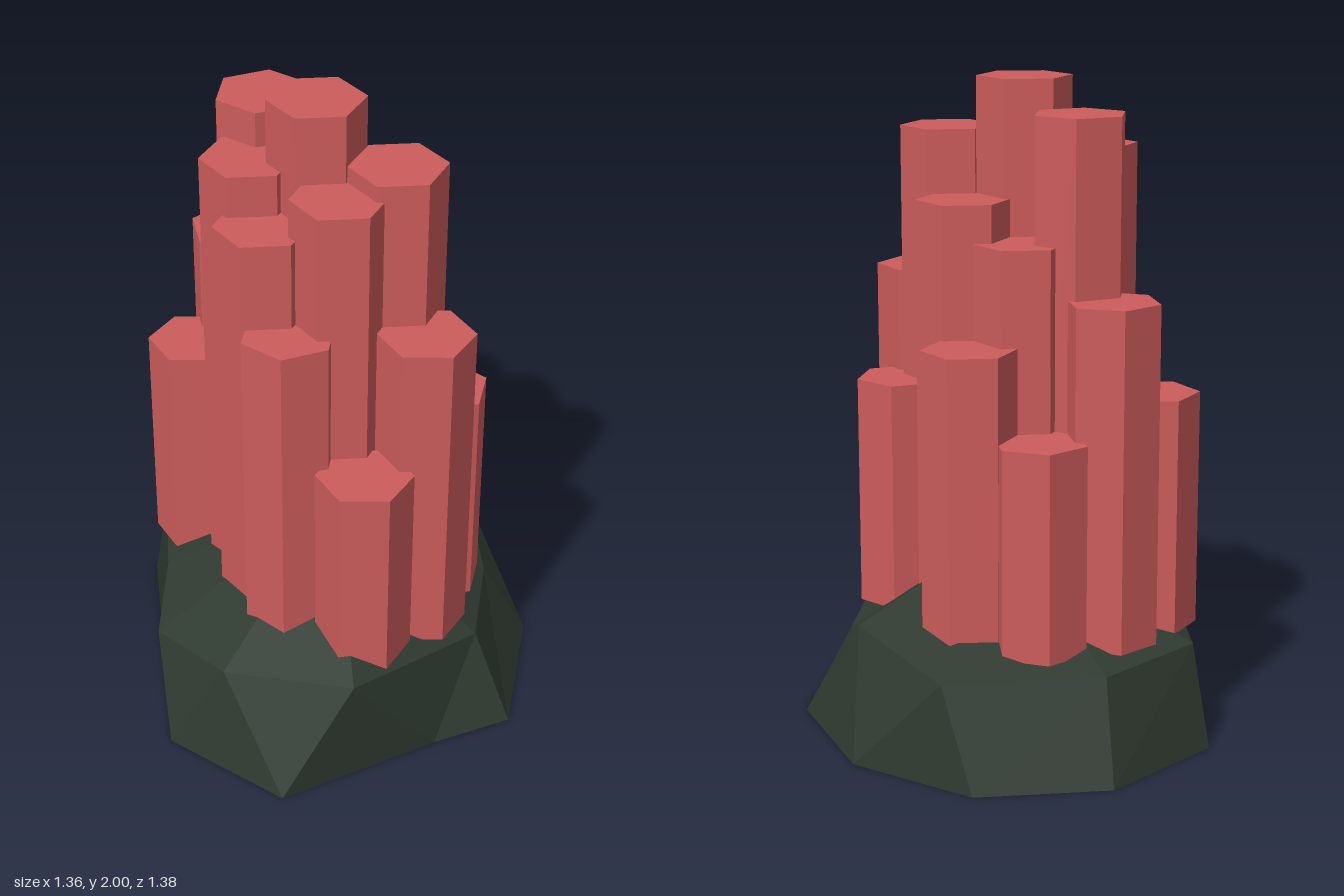
import * as THREE from 'three';

const rockMaterial = new THREE.MeshStandardMaterial({ color: 0x2f3a30, flatShading: true, side: THREE.DoubleSide });
rockMaterial.name = 'dark green rock';
const columnMaterial = new THREE.MeshStandardMaterial({ color: 0xcd5c5c, flatShading: true });
columnMaterial.name = 'red stone';

// Hexagonal columns: x, z, top height, turn
const COLUMN_BASE = 0.34;
const COLUMN_RADIUS = 0.146;
const columns = [
  [-0.035, 0.027, 2.0, 0],
  [-0.038, -0.248, 1.91, 0.32],
  [0.098, 0.242, 1.84, 0],
  [-0.18, -0.107, 1.8, 0],
  [-0.096, 0.228, 1.79, 0],
  [-0.243, 0.055, 1.67, 0],
  [0.188, 0.027, 1.645, 0],
  [0.11, -0.16, 1.53, 0],
  [-0.264, 0.215, 1.395, 0.3],
  [-0.035, -0.414, 1.38, 0.63],
  [0.074, 0.425, 1.38, -0.1],
  [0.312, -0.18, 1.24, 0],
  [-0.235, -0.353, 1.07, -0.1],
  [0.243, 0.29, 1.06, 0.23],
  [0.188, -0.362, 0.98, 0.61],
  [-0.153, 0.442, 0.98, -0.1],
];

// Irregular ten-sided rings of the rock, anticlockwise from the front
const groundRing = [
  [0.246, 0, 0.688], [0.577, 0, 0.36], [0.68, 0, -0.092], [0.526, 0, -0.496], [0.162, 0, -0.695],
  [-0.265, 0, -0.618], [-0.475, 0, -0.23], [-0.684, 0, 0.158], [-0.54, 0, 0.57], [-0.01, 0, 0.636],
];
const shoulderRing = [
  [0.2, 0.29, 0.56], [0.44, 0.27, 0.3], [0.548, 0.36, 0.08], [0.548, 0.31, -0.37], [0.12, 0.31, -0.6],
  [-0.25, 0.32, -0.55], [-0.43, 0.33, -0.25], [-0.61, 0.29, -0.018], [-0.57, 0.33, 0.3], [-0.309, 0.36, 0.615],
];
const peak = [0.02, 0.59, 0.05];

// Open-bottomed rock: sloping walls and a faceted crown
function rockGeometry() {
  const points = [];
  const n = groundRing.length;
  for (let i = 0; i < n; i++) {
    const j = (i + 1) % n;
    points.push(groundRing[i], groundRing[j], shoulderRing[j]);
    points.push(groundRing[i], shoulderRing[j], shoulderRing[i]);
    points.push(shoulderRing[i], shoulderRing[j], peak);
  }
  const geometry = new THREE.BufferGeometry();
  geometry.setAttribute('position', new THREE.Float32BufferAttribute(points.flat(), 3));
  geometry.computeVertexNormals();
  return geometry;
}

export function createModel() {
  const model = new THREE.Group();
  model.name = 'columnRock';

  const rock = new THREE.Mesh(rockGeometry(), rockMaterial);
  rock.name = 'rockBase';
  model.add(rock);

  const cluster = new THREE.Group();
  cluster.name = 'columnCluster';
  columns.forEach(([x, z, top, turn], i) => {
    const height = top - COLUMN_BASE;
    const geometry = new THREE.CylinderGeometry(COLUMN_RADIUS, COLUMN_RADIUS, height, 6);
    const column = new THREE.Mesh(geometry, columnMaterial);
    column.name = `column${i + 1}`;
    column.position.set(x, COLUMN_BASE + height / 2, z);
    column.rotation.y = turn;
    cluster.add(column);
  });
  model.add(cluster);

  return model;
}
